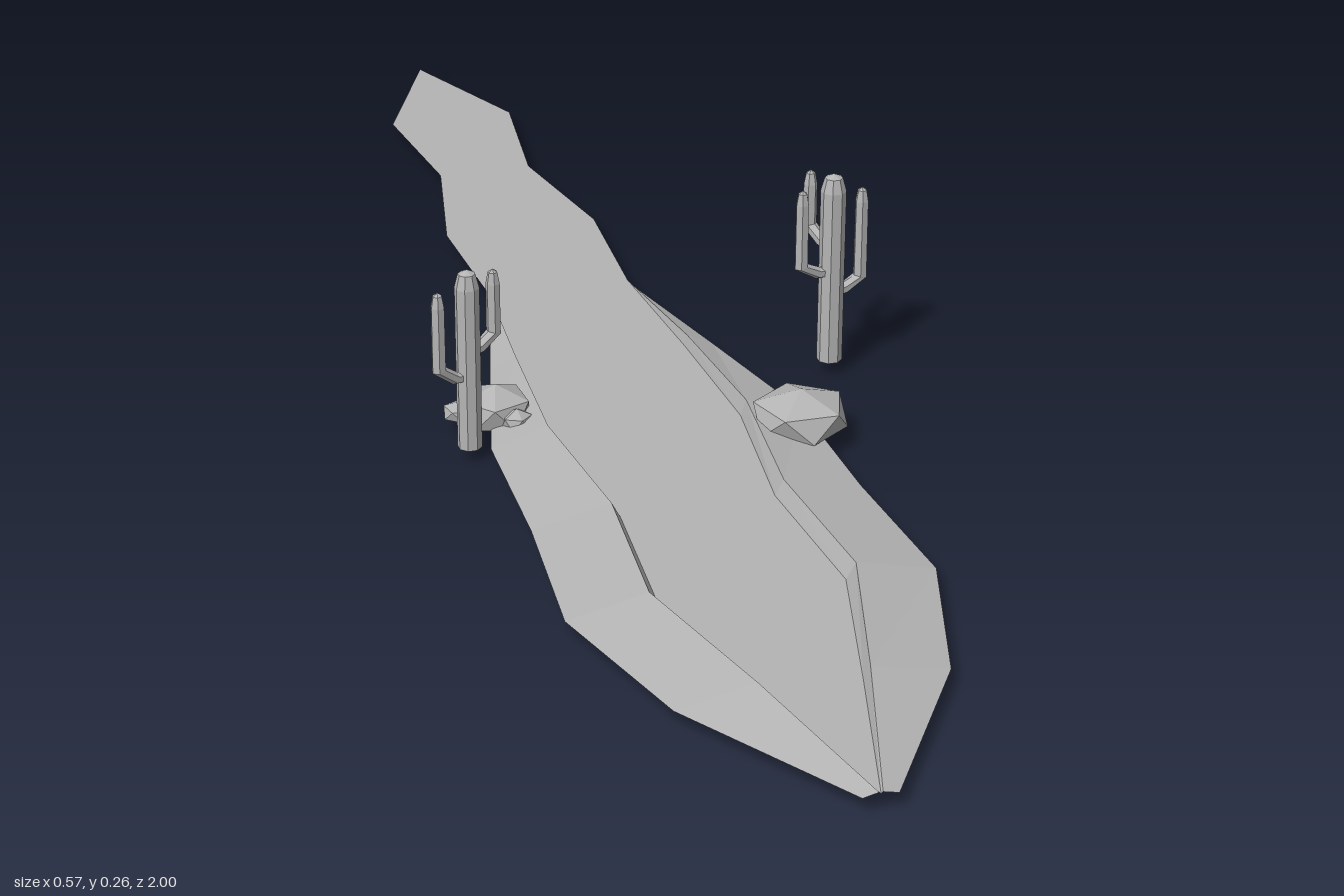
import * as THREE from 'three';

const stone = new THREE.MeshStandardMaterial({ color: 0xb4b4b4, flatShading: true, side: THREE.DoubleSide });
stone.name = 'plain grey';

function makeMesh(geometry, name) {
  geometry.computeVertexNormals();
  const mesh = new THREE.Mesh(geometry, stone);
  mesh.name = name;
  return mesh;
}

function fromTriangles(points, index) {
  const g = new THREE.BufferGeometry();
  g.setAttribute('position', new THREE.Float32BufferAttribute(points, 3));
  g.setIndex(index);
  return g.toNonIndexed();
}

// Ribbon between two rows of points; row a lies on the -x side
function strip(a, b, name) {
  const index = [];
  const n = a.length;
  for (let i = 0; i < n - 1; i++) index.push(i, i + 1, n + i, i + 1, n + i + 1, n + i);
  return makeMesh(fromTriangles([...a, ...b].flat(), index), name);
}

// Sweep of a regular polygon along points [x, y, z, radius], bending in the plane of side
function sweep(path, side, sides, name) {
  const p = new THREE.Vector3(-side.z, 0, side.x).normalize();
  const centres = path.map(c => new THREE.Vector3(c[0], c[1], c[2]));
  const pts = [], index = [];
  path.forEach((c, i) => {
    const before = centres[Math.max(i - 1, 0)], after = centres[Math.min(i + 1, path.length - 1)];
    const t = after.clone().sub(before).normalize();
    const q = t.clone().cross(p);
    for (let j = 0; j < sides; j++) {
      const a = (j + 0.5) / sides * Math.PI * 2;
      const v = centres[i].clone().addScaledVector(p, Math.cos(a) * c[3]).addScaledVector(q, Math.sin(a) * c[3]);
      pts.push(v.x, v.y, v.z);
      if (i === path.length - 1) continue;
      const k = i * sides + j, l = i * sides + (j + 1) % sides;
      index.push(k, l, l + sides, k, l + sides, k + sides);
    }
  });
  return makeMesh(fromTriangles(pts, index), name);
}

// Trunk with upturned arms: arm = [x, z, joint height, elbow height, top]
function cactus(name, x, z, radius, top, arms) {
  const group = new THREE.Group();
  group.name = name;
  const base = 0.016;
  group.add(sweep([
    [x, base, z, 0], [x, base + 0.0001, z, radius], [x, top - 0.022, z, radius],
    [x, top - 0.005, z, radius * 0.7], [x, top, z, 0],
  ], new THREE.Vector3(1, 0, 0), 8, 'trunk'));
  arms.forEach(([ax, az, joint, elbow, tip]) => {
    const r = 0.0088;
    const side = new THREE.Vector3(ax - x, 0, az - z);
    group.add(sweep([
      [x, joint, z, r * 0.8], [x + side.x * 0.45, joint + 0.002, z + side.z * 0.45, r * 0.85],
      [ax, elbow, az, r], [ax, tip - 0.018, az, r * 0.95], [ax, tip - 0.004, az, r * 0.65], [ax, tip, az, 0],
    ], side, 6, 'arm'));
  });
  return group;
}

// Squashed boulder with one point up
function rock(name, x, y, z, sx, sy, sz, turn) {
  const g = new THREE.IcosahedronGeometry(1, 0);
  g.rotateZ(-0.5536);
  g.rotateY(turn);
  g.scale(sx, sy, sz);
  g.translate(x, y, z);
  return makeMesh(g, name);
}

export function createModel() {
  const model = new THREE.Group();
  model.name = 'desertRiverbed';
  const mid = -0.032, floor = 0.021;

  // Flat bed: [z, half width]
  const bed = [[-1, 0], [-0.8, 0.085], [-0.6, 0.062], [-0.4, 0.1], [-0.2, 0.09],
    [0, 0.104], [0.2, 0.113], [0.4, 0.09], [0.6, 0.104], [0.8, 0.053], [1, 0]];
  const bedEdge = s => bed.map(([z, w]) => [mid + s * w, floor, z]);
  model.add(strip(bedEdge(-1), bedEdge(1), 'bed'));

  // Banks: [z, ridge half width, ridge height, outer half width]
  const banks = [[-0.2, 0.09, 0.021, 0.09], [0, 0.108, 0.034, 0.14], [0.2, 0.12, 0.04, 0.188],
    [0.4, 0.1, 0.04, 0.192], [0.6, 0.115, 0.04, 0.207], [0.8, 0.06, 0.038, 0.148], [1, 0.002, 0.023, 0.019]];
  for (const s of [-1, 1]) {
    const foot = bedEdge(s).slice(4);
    const ridge = banks.map(([z, w, y]) => [mid + s * w, y, z]);
    const outer = banks.map(([z, , , w]) => [mid + s * w, 0.019, z]);
    const add = (a, b, name) => model.add(s > 0 ? strip(a, b, name) : strip(b, a, name));
    add(foot, ridge, 'bankWall');
    add(ridge, outer, 'bankSlope');
  }

  // Cacti
  model.add(cactus('leftCactus', 0.234, 0.075, 0.0155, 0.26, [
    [0.192, 0.085, 0.133, 0.148, 0.247], [0.275, 0.062, 0.104, 0.117, 0.233], [0.217, 0.04, 0.165, 0.182, 0.253]]));
  model.add(cactus('rightCactus', -0.24, 0.18, 0.0145, 0.24, [
    [-0.278, 0.196, 0.107, 0.126, 0.223], [-0.205, 0.16, 0.135, 0.149, 0.228]]));

  // Rocks
  model.add(rock('leftRock', 0.138, 0.039, 0.25, 0.062, 0.033, 0.06, 0.3));
  model.add(rock('leftPebble', 0.138, 0.032, 0.2, 0.025, 0.018, 0.022, 0.9));
  model.add(rock('rightRock', -0.195, 0.031, 0.122, 0.046, 0.031, 0.044, 0.7));
  model.add(rock('rightPebble', -0.232, 0.025, 0.108, 0.025, 0.014, 0.022, 0.2));
  model.add(rock('rightPebble', -0.178, 0.028, 0.156, 0.02, 0.016, 0.018, 1.1));
  return model;
}
